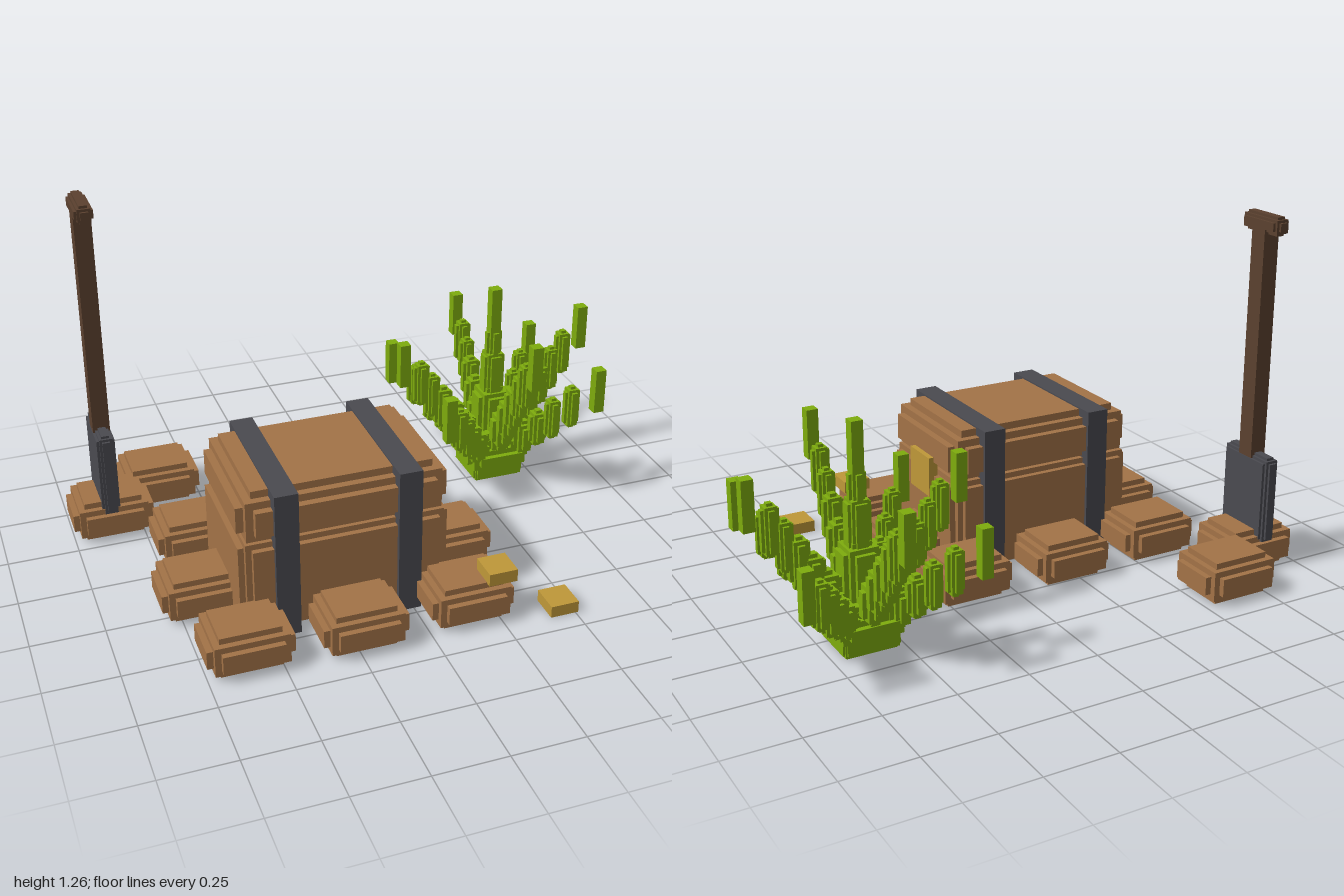
import * as THREE from 'three';
import { mergeGeometries } from 'three/addons/utils/BufferGeometryUtils.js';

const mat = (name, color) => {
  const m = new THREE.MeshStandardMaterial({ color });
  m.name = name;
  return m;
};

// Plain box from its minimum and maximum corners
const box = (a, b) =>
  new THREE.BoxGeometry(b[0] - a[0], b[1] - a[1], b[2] - a[2])
    .translate((a[0] + b[0]) / 2, (a[1] + b[1]) / 2, (a[2] + b[2]) / 2);

// Box whose edges are stepped back twice by v, as a blocky rounding
const INSETS = [[0, 2, 2], [2, 0, 2], [2, 2, 0], [1, 1, 1]];
const stepped = (a, b, v) => INSETS.map((s) =>
  box(a.map((c, i) => c + s[i] * v), b.map((c, i) => c - s[i] * v)));

// Upright stepped block from a centre, a width and a height
const block = (x, y, z, w, h, v) =>
  stepped([x - w / 2, y - h / 2, z - w / 2], [x + w / 2, y + h / 2, z + w / 2], v);

export function createModel() {
  const wood = mat('warm brown', 0xa37347);
  const iron = mat('dark iron', 0x4a4a50);
  const shaft = mat('dark wood', 0x5b412f);
  const leaf = mat('leaf green', 0x7eac0d);
  const gold = mat('gold', 0xbf9839);

  const model = new THREE.Group();
  const add = (name, parts, material) => {
    const mesh = new THREE.Mesh(mergeGeometries(parts), material);
    mesh.name = name;
    model.add(mesh);
  };

  // Chest
  add('chestBody', stepped([-0.585, 0.002, -0.045], [0.135, 0.37, 0.457], 0.02), wood);
  add('chestLid', stepped([-0.585, 0.33, -0.045], [0.135, 0.526, 0.457], 0.026), wood);
  for (const x of [-0.435, -0.015]) {
    add('chestBand', [box([x - 0.04, 0, -0.057], [x + 0.04, 0.531, 0.473])], iron);
  }
  add('chestLock', [box([0.12, 0.255, 0.117], [0.154, 0.4, 0.263])], gold);

  // Mounds around the chest and under the shovel
  const mounds = [
    [-0.603, -0.142], [-0.225, -0.163], [0.155, -0.142],
    [-0.668, 0.197], [0.22, 0.197],
    [-0.603, 0.533], [-0.225, 0.553], [0.155, 0.533],
    [-0.855, -0.392], [-0.645, -0.56],
  ];
  for (const [x, z] of mounds) {
    add('mound', stepped([x - 0.145, 0, z - 0.123], [x + 0.145, 0.148, z + 0.123], 0.021), wood);
  }

  // Loose coins
  add('coin', [box([0.2, 0.145, 0.53], [0.3, 0.19, 0.635])], gold);
  add('coin', [box([0.41, 0, 0.575], [0.51, 0.042, 0.68])], gold);

  // Shovel
  const sx = -0.865, sz = -0.395;
  add('shovelBlade', stepped([sx - 0.032, 0.1, sz - 0.12], [sx + 0.032, 0.42, sz + 0.12], 0.009), iron);
  add('shovelShaft', [box([sx - 0.03, 0.4, sz - 0.033], [sx + 0.03, 1.22, sz + 0.033])], shaft);
  add('shovelGrip', stepped([sx - 0.032, 1.2, sz - 0.095], [sx + 0.032, 1.265, sz + 0.095], 0.009), shaft);

  // Plant: base, central stalk and eight rising leaves
  const px = 0.617, pz = -0.305;
  add('plantBase', [
    ...stepped([px - 0.1, 0, pz - 0.1], [px + 0.1, 0.08, pz + 0.1], 0.006),
    ...stepped([px - 0.125, 0.035, pz - 0.125], [px + 0.125, 0.15, pz + 0.125], 0.02),
  ], leaf);
  add('plantStalk', [
    ...block(px, 0.22, pz, 0.13, 0.28, 0.016),
    ...block(px, 0.36, pz, 0.08, 0.3, 0.01),
    ...block(px, 0.48, pz, 0.06, 0.25, 0.01),
    box([px - 0.02, 0.5, pz - 0.02], [px + 0.02, 0.76, pz + 0.02]),
  ], leaf);

  // Direction in x and z, and height of the tip's middle
  const leaves = [
    [1, 0, 0.55], [-1, 0, 0.505], [0, 1, 0.6], [0, -1, 0.505],
    [1, 1, 0.43], [-1, 1, 0.41], [1, -1, 0.36], [-1, -1, 0.37],
  ];
  // Distance along the leaf, width and height of each step
  const straight = [[0.29, 0.06, 0.18], [0.245, 0.058, 0.18], [0.2, 0.07, 0.17],
    [0.155, 0.08, 0.16], [0.11, 0.09, 0.15], [0.07, 0.1, 0.13]];
  const diagonal = [[0.225, 0.06, 0.17], [0.175, 0.06, 0.17], [0.135, 0.07, 0.15],
    [0.095, 0.08, 0.14], [0.06, 0.09, 0.13]];
  for (const [dx, dz, tip] of leaves) {
    const isDiagonal = dx * dz !== 0;
    const reach = isDiagonal ? 0.294 : 0.36;
    const parts = [new THREE.BoxGeometry(0.04, 0.17, 0.04)
      .translate(px + dx * reach, tip, pz + dz * reach)];
    for (const [r, w, h] of isDiagonal ? diagonal : straight) {
      parts.push(...block(px + dx * r, tip * (0.1 + 0.9 * r / reach), pz + dz * r, w, h, w * 0.17));
    }
    add('plantLeaf', parts, leaf);
  }

  return model;
}
